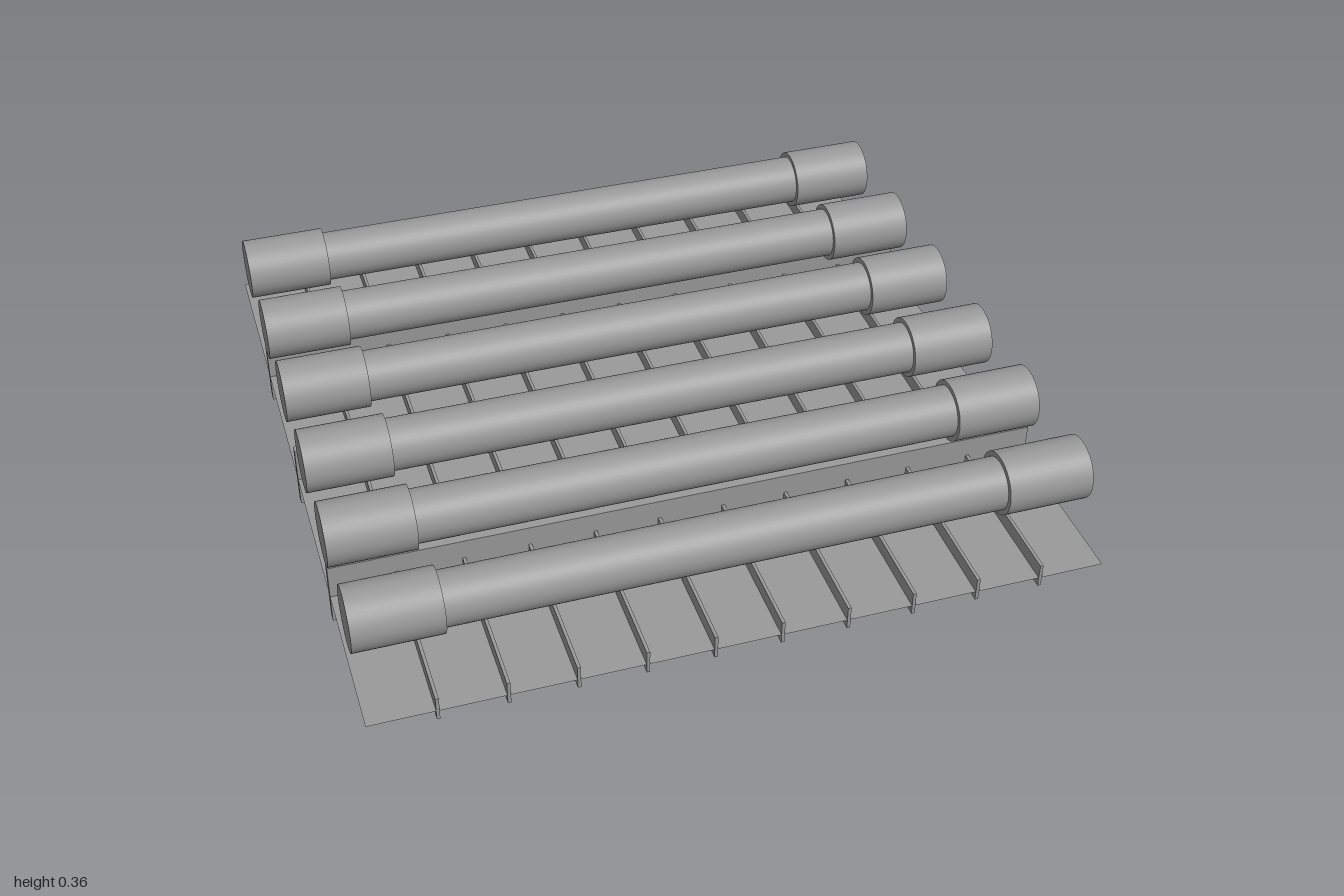
import * as THREE from 'three';

export function createModel() {
  const model = new THREE.Group();
  const material = new THREE.MeshStandardMaterial({ color: 0x9a9a9a });
  const sheetMaterial = new THREE.MeshStandardMaterial({ color: 0x9a9a9a, side: THREE.DoubleSide });

  function add(parent, name, geometry, x, y, z, mat = material) {
    const mesh = new THREE.Mesh(geometry, mat);
    mesh.name = name;
    mesh.position.set(x, y, z);
    parent.add(mesh);
    return mesh;
  }

  const midY = 0.093; // half the beam height
  const depth = 1.98;

  // Thin base sheet
  const sheet = new THREE.PlaneGeometry(2, depth).rotateX(-Math.PI / 2);
  add(model, 'baseSheet', sheet, 0, 0.086, 0, sheetMaterial);

  // Three tall beams running left to right
  const beam = new THREE.BoxGeometry(2, midY * 2, 0.025);
  for (const z of [-0.497, 0, 0.497]) add(model, 'supportBeam', beam, 0, midY, z);

  // Ten slim ribs running front to back
  const rib = new THREE.BoxGeometry(0.009, 0.07, depth);
  for (let i = 1; i <= 10; i++) add(model, 'crossRib', rib, -1 + (i * 2) / 11, midY, 0);

  // Six pipes with a wider collar at each end
  const body = new THREE.CylinderGeometry(0.0735, 0.0735, 1.54, 48).rotateZ(Math.PI / 2);
  const collar = new THREE.CylinderGeometry(0.088, 0.088, 0.24, 48).rotateZ(Math.PI / 2);
  for (const z of [0.795, 0.47, 0.161, -0.161, -0.47, -0.795]) {
    const pipe = new THREE.Group();
    pipe.name = 'pipe';
    pipe.position.set(0, 0.272, z);
    add(pipe, 'pipeBody', body, 0, 0, 0);
    for (const side of [-1, 1]) add(pipe, 'endCollar', collar, side * 0.88, 0, 0);
    model.add(pipe);
  }
  return model;
}
